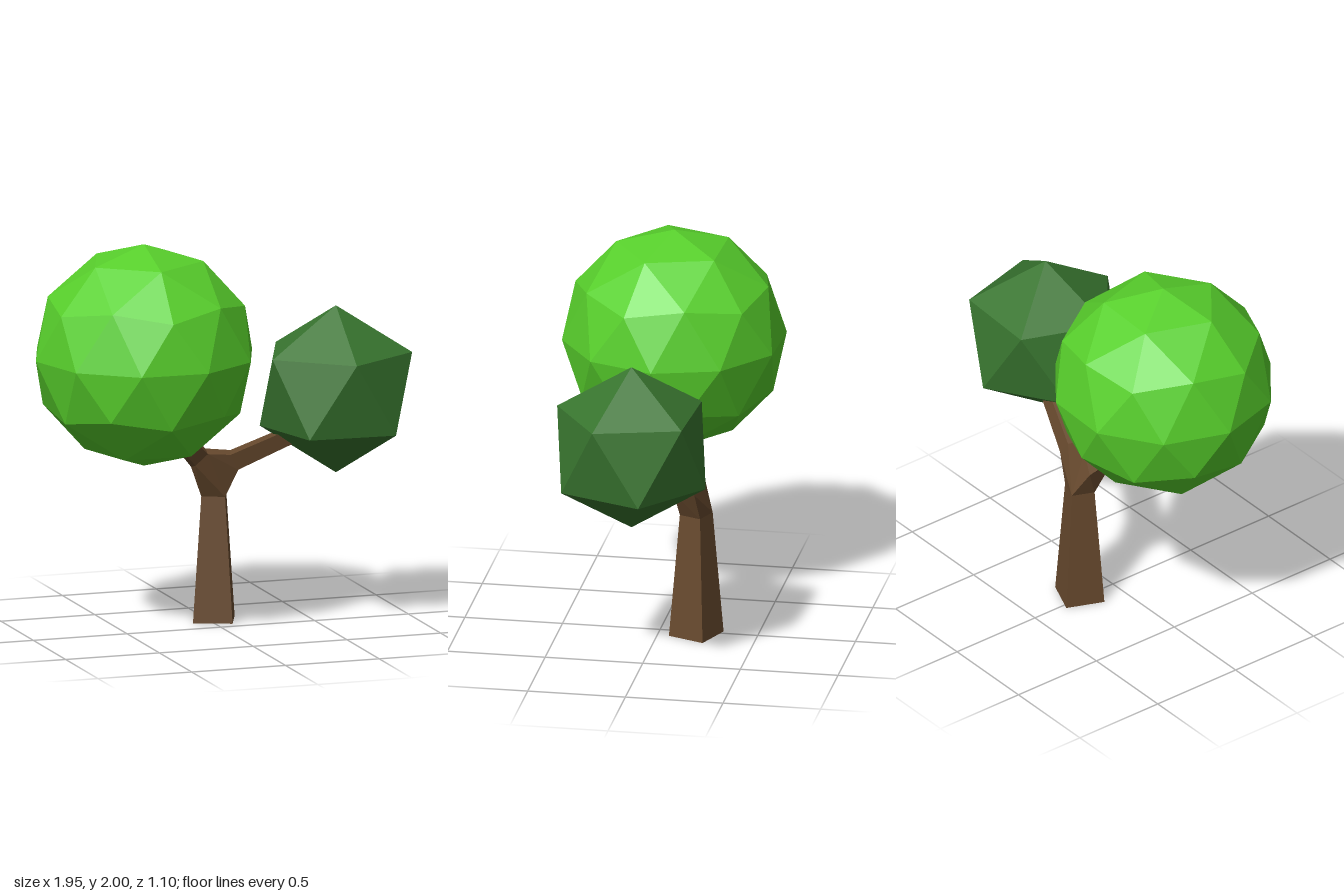
import * as THREE from 'three';
import { ConvexGeometry } from 'three/addons/geometries/ConvexGeometry.js';

const V = (x, y, z) => new THREE.Vector3(x, y, z);
const flat = (color) => new THREE.MeshStandardMaterial({ color, flatShading: true });

// Icosphere standing on one vertex, turned about its upright axis
function foliage(name, radius, detail, turn, centre, material) {
  const geo = new THREE.IcosahedronGeometry(radius, detail);
  geo.rotateZ(-Math.atan(2 / (1 + Math.sqrt(5))));
  geo.rotateY(THREE.MathUtils.degToRad(turn));
  const mesh = new THREE.Mesh(geo, material);
  mesh.name = name;
  mesh.position.copy(centre);
  return mesh;
}

// Square cross-section of the trunk, twisted and at height y
function square(cx, cz, y, half) {
  return [0, 1, 2, 3].map((i) => {
    const a = THREE.MathUtils.degToRad(22 + 45 + 90 * i);
    const r = half * Math.SQRT2;
    return V(cx + r * Math.cos(a), y, cz + r * Math.sin(a));
  });
}

// Copy of a cross-section, shrunk about its middle and moved along
function extend(section, shift, scale) {
  const mid = section.reduce((s, p) => s.add(p), V(0, 0, 0)).divideScalar(section.length);
  return section.map((p) => p.clone().sub(mid).multiplyScalar(scale).add(mid).add(shift));
}

export function createModel() {
  const tree = new THREE.Group();
  tree.name = 'tree';
  const bark = flat(0x684a2e);

  const solid = (name, ...sections) => {
    const mesh = new THREE.Mesh(new ConvexGeometry(sections.flat()), bark);
    mesh.name = name;
    tree.add(mesh);
  };

  // Trunk and fork
  const base = square(0.028, -0.19, 0, 0.1);
  const neck = square(0.028, -0.19, 0.645, 0.06);
  const leftMouth = [V(0.125, 0.785, -0.09), V(0.17, 0.795, -0.205), V(0.08, 0.866, -0.08), V(0.118, 0.866, -0.195)];
  const rightMouth = [V(-0.105, 0.82, -0.09), V(-0.085, 0.79, -0.215), V(-0.045, 0.88, -0.07), V(-0.015, 0.883, -0.195)];
  solid('trunk', base, neck);
  solid('fork', neck, leftMouth, rightMouth);

  // Branches running into the foliage
  solid('leftBranch', leftMouth, extend(leftMouth, V(0.4, 0.19, 0.13), 0.8));
  solid('rightBranch', rightMouth, extend(rightMouth, V(-0.22, 0.23, 0.13), 0.8));

  // Foliage
  tree.add(
    foliage('largeFoliage', 0.57, 1, -92, V(-0.41, 1.43, 0), flat(0x58d02c)),
    foliage('smallFoliage', 0.43, 0, -93, V(0.6, 1.195, 0.04), flat(0x38752f)),
  );
  return tree;
}
